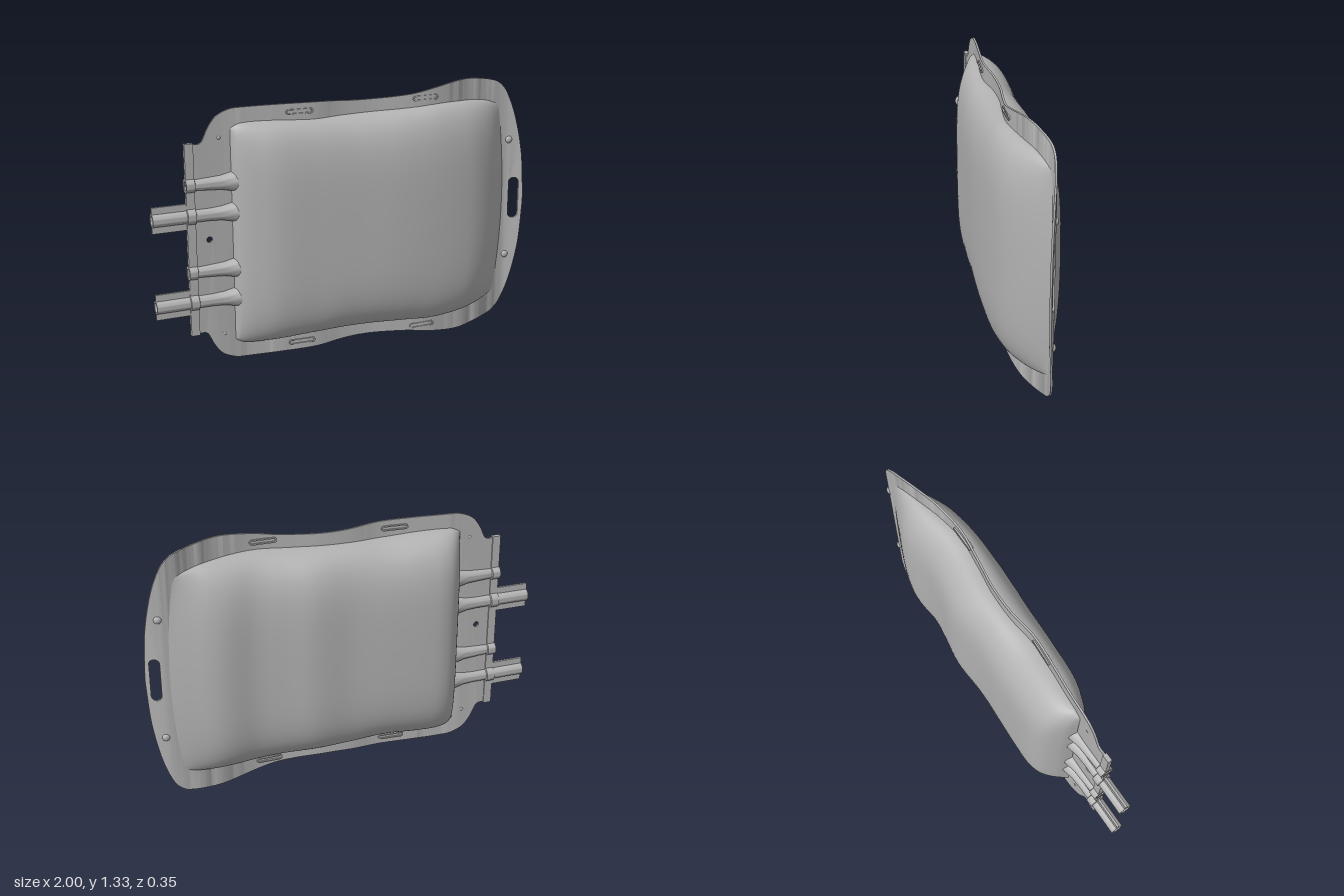
import * as THREE from 'three';
import { mergeGeometries, toCreasedNormals } from 'three/addons/utils/BufferGeometryUtils.js';

const MID = 0.665; // height of the mirror line

// Smooth interpolation through [x, value] pairs
function smooth(pts) {
  const slope = (i) => {
    const a = pts[Math.max(i - 1, 0)], b = pts[Math.min(i + 1, pts.length - 1)];
    return (b[1] - a[1]) / (b[0] - a[0]);
  };
  return (x) => {
    let i = 0;
    while (i < pts.length - 2 && x > pts[i + 1][0]) i++;
    const [x0, a] = pts[i], [x1, b] = pts[i + 1], w = x1 - x0;
    const t = THREE.MathUtils.clamp((x - x0) / w, 0, 1), t2 = t * t, t3 = t2 * t;
    return (2 * t3 - 3 * t2 + 1) * a + (t3 - 2 * t2 + t) * w * slope(i)
      + (3 * t2 - 2 * t3) * b + (t3 - t2) * w * slope(i + 1);
  };
}

const seamZ = smooth([[-0.83, 0.008], [-0.62, 0.005], [-0.5, 0.01], [-0.38, 0.02], [-0.2, 0.03], [-0.05, 0.012],
  [0.1, 0.012], [0.25, 0.03], [0.4, 0.042], [0.55, 0.02], [0.7, -0.02], [0.85, -0.055], [0.92, -0.052], [0.995, -0.02]]);
const sheetHalf = smooth([[-0.8, 0.47], [-0.75, 0.475], [-0.72, 0.535], [-0.68, 0.588], [-0.62, 0.618], [-0.57, 0.625],
  [-0.2, 0.624], [0.05, 0.61], [0.3, 0.62], [0.45, 0.645], [0.6, 0.665], [0.7, 0.66], [0.83, 0.632], [0.87, 0.605],
  [0.9, 0.565], [0.94, 0.46], [0.97, 0.32], [0.985, 0.2], [0.995, 0.02]]);
const pouchHalf = smooth([[-0.61, 0.53], [-0.56, 0.55], [-0.4, 0.552], [-0.2, 0.542], [0, 0.545], [0.3, 0.553],
  [0.5, 0.562], [0.7, 0.555], [0.8, 0.54], [0.89, 0.51]]);
const frontZ = smooth([[-0.61, 0.01], [-0.59, 0.055], [-0.5, 0.105], [-0.4, 0.135], [-0.2, 0.148], [0, 0.158],
  [0.2, 0.168], [0.4, 0.162], [0.6, 0.135], [0.7, 0.1], [0.8, 0.035], [0.89, -0.054]]);
const backZ = smooth([[-0.61, 0], [-0.59, -0.065], [-0.54, -0.135], [-0.48, -0.165], [-0.4, -0.172], [-0.2, -0.166],
  [0, -0.157], [0.2, -0.167], [0.35, -0.145], [0.48, -0.133], [0.62, -0.146], [0.7, -0.135], [0.8, -0.095], [0.89, -0.056]]);

// Rounded slot outline
function capsule(cx, cy, hw, hh, Type) {
  const p = new Type(), r = Math.min(hw, hh);
  if (hw > hh) {
    p.absarc(cx + hw - r, cy, r, -Math.PI / 2, Math.PI / 2);
    p.absarc(cx - hw + r, cy, r, Math.PI / 2, Math.PI * 1.5);
  } else {
    p.absarc(cx, cy + hh - r, r, 0, Math.PI);
    p.absarc(cx, cy - hh + r, r, Math.PI, Math.PI * 2);
  }
  p.closePath();
  return p;
}

// Shift a flat geometry so that it follows the wavy seam
function followSeam(geo) {
  const p = geo.attributes.position;
  for (let i = 0; i < p.count; i++) p.setZ(i, p.getZ(i) + seamZ(p.getX(i)));
  return geo;
}

// Welded sheet: strips across x with the two cut-outs
function sheetGeometry() {
  const cuts = [-0.8, -0.76, -0.69];
  for (let x = -0.65; x < 0.9; x += 0.03) cuts.push(x);
  cuts.push(0.92, 0.98, 0.995);
  const strips = [];
  for (let i = 0; i < cuts.length - 1; i++) {
    const a = cuts[i], b = cuts[i + 1], n = 6, pts = [];
    for (let k = 0; k <= n; k++) {
      const x = a + (b - a) * k / n;
      pts.push(new THREE.Vector2(x, MID - sheetHalf(x)));
    }
    for (let k = n; k >= 0; k--) {
      const x = a + (b - a) * k / n;
      pts.push(new THREE.Vector2(x, MID + sheetHalf(x)));
    }
    const shape = new THREE.Shape(pts);
    if (a === 0.92) shape.holes.push(capsule(0.95, MID, 0.024, 0.11, THREE.Path));
    if (a === -0.76) shape.holes.push(capsule(-0.725, MID, 0.014, 0.0141, THREE.Path));
    const g = new THREE.ExtrudeGeometry(shape, { depth: 0.01, bevelEnabled: false, curveSegments: 10 });
    strips.push(followSeam(g.translate(0, 0, -0.005)));
  }
  return toCreasedNormals(mergeGeometries(strips), 0.6);
}

// One bulging half of the pouch
function pouchGeometry(profile, side) {
  const nx = 90, ny = 64, pos = [], idx = [];
  for (let j = 0; j <= ny; j++) {
    const t = Math.sin((j / ny - 0.5) * Math.PI);
    const bulge = Math.sqrt(Math.max(0, 1 - Math.abs(t) ** 5)) * (1 - 0.06 * t * t);
    const right = 0.89 - 0.04 * t * t;
    for (let i = 0; i <= nx; i++) {
      const s = (1 - Math.cos(Math.PI * i / nx)) / 2, xn = -0.61 + 1.5 * s;
      const x = -0.61 + (right + 0.61) * s;
      const depth = profile(xn) - seamZ(xn);
      pos.push(x, MID + t * pouchHalf(xn), seamZ(x) + depth * bulge + side * 0.003);
      if (i < nx && j < ny) {
        const a = j * (nx + 1) + i, b = a + 1, c = a + nx + 1, d = c + 1;
        if (side > 0) idx.push(a, b, d, a, d, c);
        else idx.push(a, d, b, a, c, d);
      }
    }
  }
  const g = new THREE.BufferGeometry();
  g.setAttribute('position', new THREE.Float32BufferAttribute(pos, 3));
  g.setIndex(idx);
  g.computeVertexNormals();
  return g;
}

// Hollow tube along x from [radius, x] points
function tubeGeometry(points) {
  const g = new THREE.LatheGeometry(points.map(([r, x]) => new THREE.Vector2(r, x)), 28);
  return toCreasedNormals(g.rotateZ(-Math.PI / 2), 0.7);
}

export function createModel() {
  const group = new THREE.Group();
  const film = new THREE.MeshStandardMaterial({ color: 0xb2b2b2, side: THREE.DoubleSide });
  film.name = 'film grey';
  const add = (name, geo, x = 0, y = 0, z = 0) => {
    const m = new THREE.Mesh(geo, film);
    m.name = name;
    m.position.set(x, y, z);
    group.add(m);
    return m;
  };

  // Bag body
  add('weldedSheet', sheetGeometry());
  add('frontPouch', pouchGeometry(frontZ, 1));
  add('backPouch', pouchGeometry(backZ, -1));

  // End bar across the ports
  const z0 = 0.008;
  add('endBar', new THREE.BoxGeometry(0.042, 0.95, 0.022), -0.812, MID, z0);

  // Long and short ports, each flaring into the pouch
  const flare = [[0.031, -0.72], [0.035, -0.66], [0.046, -0.61], [0.06, -0.55]];
  for (const y of [0.79, 0.36]) {
    add('longPort', tubeGeometry([[0.023, -0.85], [0.023, -1], [0.032, -1], [0.032, -0.835], [0.039, -0.833],
      [0.039, -0.793], [0.031, -0.79], ...flare]), 0, y, z0);
    for (const s of [-1, 1]) add('portFin', new THREE.BoxGeometry(0.17, 0.034, 0.012), -0.915, y + s * 0.0465, z0);
  }
  for (const y of [0.94, 0.51]) {
    add('shortPort', tubeGeometry([[0, -0.815], [0.022, -0.815], [0.022, -0.835], [0.034, -0.835], [0.034, -0.793],
      [0.027, -0.79], ...flare]), 0, y, z0);
  }

  // Raised slot rims and press marks, mirrored top and bottom
  for (const s of [-1, 1]) {
    for (const [x, dy] of [[-0.272, 0.585], [0.385, 0.598]]) {
      const rim = capsule(x, MID + s * dy, 0.068, 0.013, THREE.Shape);
      rim.holes.push(capsule(x, MID + s * dy, 0.061, 0.007, THREE.Path));
      const g = new THREE.ExtrudeGeometry(rim, { depth: 0.024, bevelEnabled: false, curveSegments: 8 });
      add('slotRim', followSeam(g.translate(0, 0, -0.012)));
    }
    for (const [x, dy, r] of [[0.92, 0.314, 0.02], [-0.665, 0.49, 0.011]]) {
      const stud = add('stud', new THREE.SphereGeometry(r, 20, 12), x, MID + s * dy, seamZ(x));
      stud.scale.z = 0.75;
    }
  }
  return group;
}
